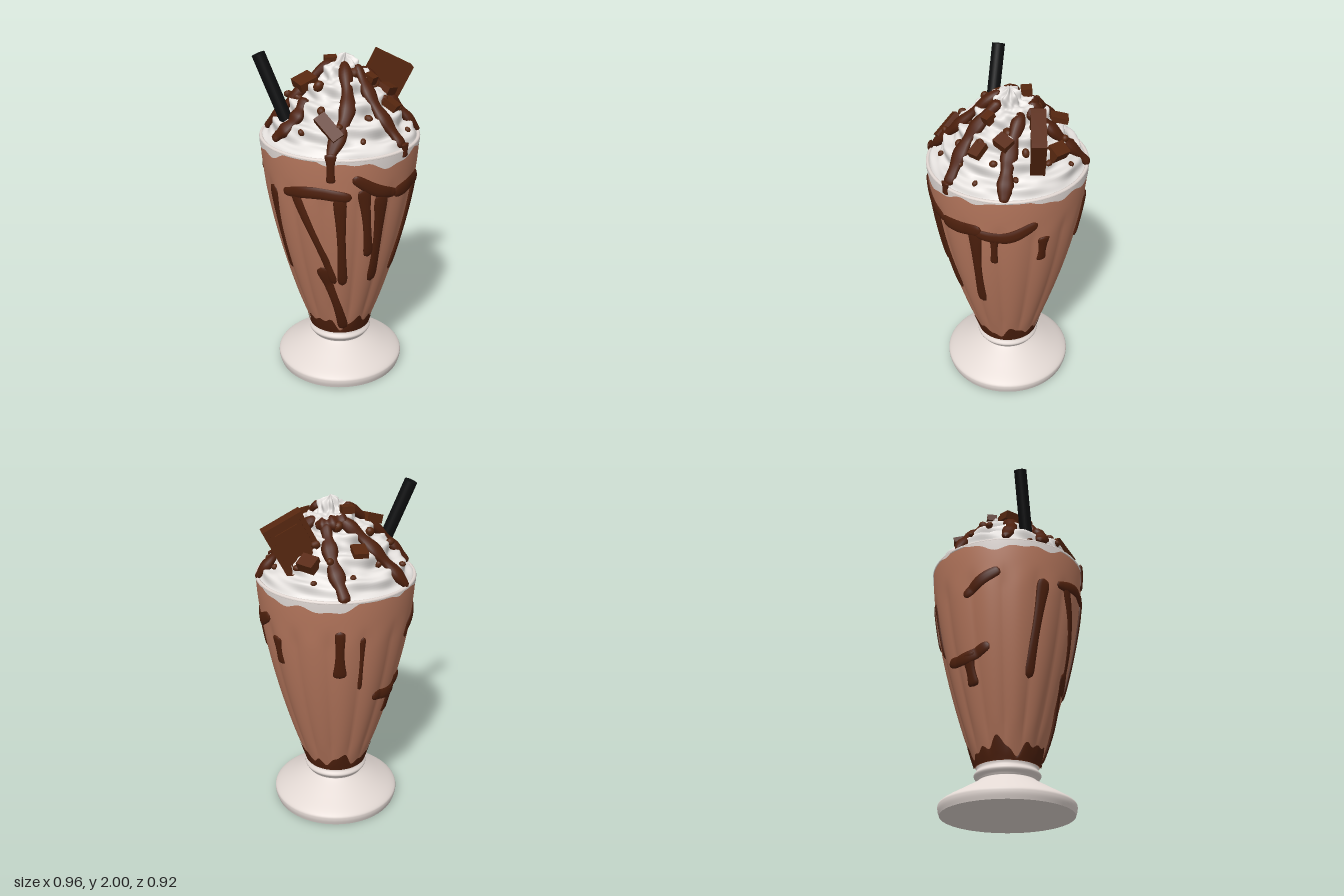
import * as THREE from 'three';

const mat = (name, color, side = THREE.FrontSide) => {
  const m = new THREE.MeshStandardMaterial({ color, side });
  m.name = name;
  return m;
};
const V = (x, y, z) => new THREE.Vector3(x, y, z);
const TAU = Math.PI * 2, RIM = 0.45;

// Smooth surface closed around u, running along v
function loft(nu, nv, fn) {
  const pos = [], idx = [];
  for (let j = 0; j <= nv; j++)
    for (let i = 0; i < nu; i++) pos.push(...fn((i / nu) * TAU, j / nv).toArray());
  for (let j = 0; j < nv; j++)
    for (let i = 0; i < nu; i++) {
      const k = (i + 1) % nu, a = j * nu + i, b = j * nu + k;
      idx.push(a, b, b + nu, a, b + nu, a + nu);
    }
  const g = new THREE.BufferGeometry();
  g.setAttribute('position', new THREE.Float32BufferAttribute(pos, 3));
  g.setIndex(idx);
  g.computeVertexNormals();
  return g;
}

// Fluted glass wall: angle 0 is the front, growing towards +x
function wall(angle, y, lift = 0) {
  const t = THREE.MathUtils.clamp((y - 0.27) / 1.23, 0, 1);
  const fade = THREE.MathUtils.smoothstep(y, 0.28, 0.5) * (1 - THREE.MathUtils.smoothstep(y, 1.2, 1.36));
  const flute = 0.012 * (Math.abs(Math.cos(7 * angle)) - 0.7) * fade;
  const r = 0.18 + 0.275 * (1 - Math.pow(1 - t, 1.6)) + flute + lift;
  return V(r * Math.sin(angle), y, r * Math.cos(angle));
}

// Whipped cream mound: s runs from the rim (0) to the peak (1)
function cream(angle, s, ripple = 1, lift = 0) {
  const fade = Math.min(1, s * 8) * Math.min(1, (1 - s) * 5);
  const swirl = 0.02 * Math.sin(TAU * 5 * s - angle) + 0.008 * Math.sin(6 * angle + 62 * s)
    + 0.005 * Math.sin(11 * angle - 24 * s);
  const star = s > 0.8 ? 0.012 * Math.sin(8 * angle) * Math.sin((s - 0.8) * 5 * Math.PI) : 0;
  const d = ripple * (swirl * fade + star) + lift;
  const r = RIM * (1 - s) + d * 0.7;
  const y = 1.49 + 0.47 * s + 0.025 * Math.sin(Math.PI * s) + d * 0.7;
  return V(r * Math.sin(angle) + 0.035 * s * s, y, r * Math.cos(angle));
}
const onCream = (x, z, lift = 0, ripple = 0) =>
  cream(Math.atan2(x, z), Math.max(0, 1 - Math.hypot(x, z) / RIM), ripple, lift);

// Rounded sauce trail along points (a, b, half width), laid on a surface by place(a, b)
function trail(points, place, normal, thick, lumps = 0) {
  const curve = new THREE.CatmullRomCurve3(points);
  const at = v => { const p = curve.getPoint(THREE.MathUtils.clamp(v, 0, 1)); return place(p.x, p.y); };
  return loft(10, 36, (u, v) => {
    const p = at(v), n = normal(p);
    const dir = at(v + 0.01).sub(at(v - 0.01)).normalize();
    const side = n.clone().cross(dir).normalize();
    const cap = Math.sqrt(Math.max(0, 1 - Math.pow(Math.abs(2 * v - 1), 10)));
    const k = cap * (1 + lumps * Math.sin(v * 19 + points[0].x * 9));
    const w = curve.getPoint(v).z * k;
    return p.addScaledVector(side, Math.cos(u) * w).addScaledVector(n, Math.sin(u) * thick * k);
  });
}

export function createModel() {
  const model = new THREE.Group();
  model.name = 'milkshake';
  const shake = mat('milkshake brown', 0xb6775d), white = mat('cream white', 0xe8e4e1);
  const glass = mat('pale glass', 0xe2d8d3), sauce = mat('chocolate sauce', 0x4e200d);
  const choc = mat('chocolate', 0x57270f), black = mat('straw black', 0x0d0e0f);
  const smear = mat('cream smear white', 0xe0d8d4, THREE.DoubleSide);
  const add = (name, geo, m, parent = model) => {
    const mesh = new THREE.Mesh(geo, m);
    mesh.name = name;
    parent.add(mesh);
    return mesh;
  };
  const group = name => { const g = new THREE.Group(); g.name = name; model.add(g); return g; };

  // Foot, stem ring and neck: smooth curve above a flat underside
  const flare = new THREE.SplineCurve([[0.375, 0], [0.385, 0.04], [0.37, 0.07], [0.27, 0.13], [0.178, 0.185],
    [0.172, 0.2], [0.19, 0.228], [0.174, 0.256], [0.182, 0.29]].map(p => new THREE.Vector2(...p)));
  add('foot', new THREE.LatheGeometry(flare.getPoints(40), 64), glass);
  add('footUnderside', new THREE.CircleGeometry(0.375, 64).rotateX(Math.PI / 2), glass);

  // Filled glass and its rim
  add('filledGlass', loft(168, 48, (u, v) => wall(u, 0.27 + 1.23 * v)), shake);
  const rim = add('rim', new THREE.TorusGeometry(0.448, 0.011, 10, 80), glass);
  rim.rotation.x = Math.PI / 2;
  rim.position.y = 1.497;

  // Cream smeared inside the rim
  add('creamSmear', loft(168, 4, (u, v) => {
    const drop = Math.max(0.008, 0.028 + 0.026 * Math.sin(3 * u + 1) + 0.014 * Math.sin(8 * u) + 0.008 * Math.sin(17 * u));
    return wall(u, 1.5 - drop * (1 - v), 0.003);
  }), smear);

  // Sauce pooled at the bottom of the glass
  add('saucePool', loft(168, 8, (u, v) => {
    const top = 0.345 + 0.03 * Math.sin(5 * u + 0.6) + 0.022 * Math.sin(9 * u + 2) + 0.014 * Math.sin(16 * u);
    return wall(u, 0.268 + (top - 0.268) * v, 0.007 * (1 - v * v * 0.7));
  }), sauce);

  // Sauce on the glass, from (a0, y0) to (a1, y1) in degrees and height
  const glassSauce = group('glassSauce');
  const radial = p => V(p.x, 0, p.z).normalize();
  const onGlass = (name, points) => add(name,
    trail(points, (a, y) => wall(THREE.MathUtils.degToRad(a), y, 0.001), radial, 0.012), sauce, glassSauce);

  // Drips: wide head, narrow neck, round end
  const drip = (a0, y0, a1, y1, w) => onGlass('drip', [1.4, 0.95, 0.75, 0.8, 1.05].map((k, i) =>
    V(a0 + (a1 - a0) * i / 4, y0 + (y1 - y0) * i / 4, w * k)));
  drip(-27, 1.3, -24, 0.67, 0.032);
  drip(-62, 1.3, -32, 0.68, 0.028);
  drip(-45, 0.8, -20, 0.3, 0.034);
  drip(-10, 1.33, -1, 0.87, 0.033);
  drip(4, 1.29, 8, 0.67, 0.038);
  drip(47, 1.3, 43, 0.67, 0.035);
  drip(61, 1.27, 60, 1.05, 0.025);
  drip(98, 1.23, 98, 1.05, 0.032);
  drip(150, 1.02, 150, 1.33, 0.033);
  drip(167, 1.28, 168, 0.92, 0.015);
  drip(209, 0.86, 211, 0.67, 0.042);
  drip(276, 1.28, 269, 0.7, 0.035);
  drip(-33, 1.54, -33, 1.37, 0.028);
  drip(24, 1.54, 24, 1.46, 0.026);

  // Bands: arcs that join the drips, with the middle raised by bow
  const band = (a0, y0, a1, y1, bow, w) => onGlass('band',
    [V(a0, y0, w * 0.8), V((a0 + a1) / 2, (y0 + y1) / 2 + bow, w), V(a1, y1, w * 0.85)]);
  band(-72, 1.27, -18, 1.28, 0.03, 0.036);
  band(-18, 1.4, 18, 1.26, -0.02, 0.036);
  band(16, 1.26, 52, 1.29, 0, 0.044);
  band(46, 1.27, 92, 1.34, -0.05, 0.038);
  band(212, 1.18, 242, 1.31, 0.01, 0.038);
  band(182, 0.85, 232, 0.88, -0.03, 0.04);

  // Whipped cream
  add('whippedCream', loft(128, 80, (u, v) => cream(u, v)), white);

  // Sauce drizzled over the cream, from rim to peak through three points
  const creamSauce = group('creamSauce');
  const slope = p => V(p.x, 0, p.z).normalize().add(V(0, 1, 0)).normalize();
  const drizzle = (x0, z0, x1, z1, x2, z2) => add('drizzle',
    trail([V(x0, z0, 0.038), V(x1, z1, 0.04), V(x2, z2, 0.032)],
      (x, z) => onCream(x, z, 0.008), slope, 0.027, 0.18), sauce, creamSauce);
  drizzle(-0.21, -0.4, -0.08, -0.27, 0.04, -0.11);
  drizzle(0.2, -0.405, 0.175, -0.24, 0.11, -0.09);
  drizzle(-0.38, -0.17, -0.26, -0.08, -0.04, -0.05);
  drizzle(-0.42, 0.03, -0.32, 0.08, -0.23, 0.04);
  drizzle(-0.25, 0.37, -0.09, 0.25, -0.02, 0.04);
  drizzle(0.18, 0.4, 0.08, 0.25, 0.04, 0.06);
  drizzle(0.42, 0.17, 0.29, 0.1, 0.12, -0.03);
  drizzle(0, -0.13, 0.09, -0.11, 0.15, -0.06);

  // Chocolate shards: flat broken blocks resting on the slope
  const bits = group('chocolatePieces');
  const shard = (x, z, w, h, d, turn) => {
    const m = add('shard', new THREE.BoxGeometry(w, h, d), choc, bits);
    m.position.copy(onCream(x, z, 0.028));
    m.rotation.set(z * 1.6 + 0.2, turn, -x * 1.8);
  };
  shard(0.03, -0.27, 0.08, 0.03, 0.1, -0.35);
  shard(-0.18, -0.05, 0.11, 0.05, 0.11, 0.1);
  shard(-0.2, 0.27, 0.07, 0.04, 0.17, 0.3);
  shard(0.18, 0.22, 0.065, 0.04, 0.09, 0.5);
  shard(0.27, -0.17, 0.08, 0.06, 0.1, 0.4);
  shard(0.22, 0.1, 0.09, 0.05, 0.07, 0.4);
  shard(-0.02, -0.09, 0.07, 0.04, 0.06, -0.3);
  shard(0.09, 0.13, 0.05, 0.05, 0.06, 0.4);

  // Chocolate crumbs: a golden-angle scatter, smaller towards the rim
  for (let i = 0; i < 30; i++) {
    const a = i * 2.4 + 0.3, r = 0.1 + 0.3 * Math.sqrt(i / 30);
    const size = 0.037 - 0.021 * Math.sqrt(i / 30);
    const m = add('crumb', new THREE.IcosahedronGeometry(size, 1), choc, bits);
    m.position.copy(cream(a, 1 - r / RIM, 1, size * 0.35));
    m.scale.set(1.1, 0.85, 0.9);
    m.rotation.set(i, i * 2.1, 0);
  }

  // Chocolate bar with a raised frame and centre panel on both faces
  const bar = group('chocolateBar');
  const box = (name, w, h, d, x = 0, y = 0) => add(name, new THREE.BoxGeometry(w, h, d), choc, bar).position.set(x, y, 0);
  box('barCore', 0.23, 0.315, 0.055);
  for (const s of [-1, 1]) {
    box('barFrameSide', 0.028, 0.32, 0.08, s * 0.104);
    box('barFrameEnd', 0.18, 0.028, 0.08, 0, s * 0.146);
  }
  box('barPanel', 0.135, 0.215, 0.072);
  bar.position.set(0.305, 1.74, -0.06);
  bar.rotation.set(0, -0.33, -0.47, 'YXZ');

  // Straw
  const low = V(-0.285, 1.5, 0.015), high = V(-0.44, 1.985, -0.1);
  const straw = add('straw', new THREE.CylinderGeometry(0.037, 0.037, low.distanceTo(high), 24), black);
  straw.position.copy(low).lerp(high, 0.5);
  straw.quaternion.setFromUnitVectors(V(0, 1, 0), high.clone().sub(low).normalize());
  return model;
}
